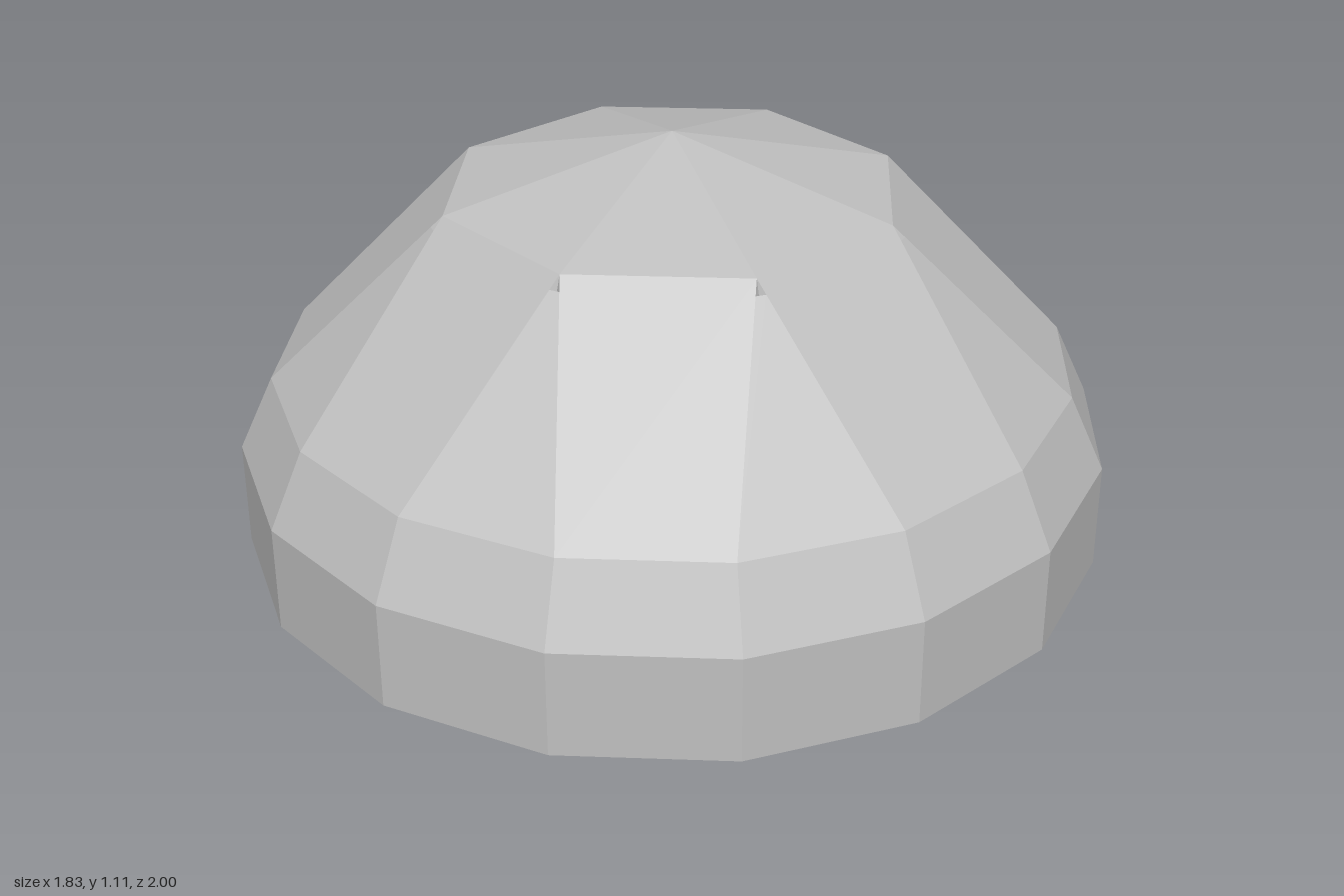
import * as THREE from 'three';

const CZ = 0.085; // dome axis
const FLOOR = 0.21;

// point on a ring around the dome axis, angle in steps of 22.5 degrees
const ring = (r, step, y) => {
  const t = (step * Math.PI) / 8;
  return new THREE.Vector3(r * Math.sin(t), y, CZ + r * Math.cos(t));
};
const v = (a) => new THREE.Vector3(...a);

// polygons (convex corner loops) to flat triangles
function faces(polys) {
  const pos = [];
  for (const p of polys)
    for (let i = 1; i < p.length - 1; i++)
      for (const q of [p[0], p[i], p[i + 1]]) pos.push(q.x, q.y, q.z);
  const g = new THREE.BufferGeometry();
  g.setAttribute('position', new THREE.Float32BufferAttribute(pos, 3));
  g.computeVertexNormals();
  return g;
}

export function createModel() {
  const grey = new THREE.MeshStandardMaterial({ color: 0xc0c0c0, flatShading: true, side: THREE.DoubleSide });
  grey.name = 'plain grey';
  const model = new THREE.Group();
  model.name = 'domeBuilding';
  const add = (name, geo, parent = model) => {
    const m = new THREE.Mesh(geo, grey);
    m.name = name;
    parent.add(m);
    return m;
  };
  // box given by its limits
  const box = (name, parent, x0, x1, y0, y1, z0, z1) => {
    const m = add(name, new THREE.BoxGeometry(x1 - x0, y1 - y0, z1 - z0), parent);
    m.position.set((x0 + x1) / 2, (y0 + y1) / 2, (z0 + z1) / 2);
  };

  // dome shell
  const wall = [], shoulder = [], roof = [], vents = [], cap = [];
  const apex = new THREE.Vector3(0, 1.11, CZ);
  const top = (j) => ring(0.49, 2 * j, 0.99);
  for (let k = 0; k < 16; k++) {
    const a = k + 0.5, b = k + 1.5;
    const at = (r, y) => [ring(r, a, y), ring(r, b, y)];
    const [b0, b1] = at(0.932, FLOOR), [m0, m1] = at(0.932, 0.44), [s0, s1] = at(0.857, 0.6);
    if (k !== 7) wall.push([b0, b1, m1, m0]); // the rear panel is the entrance
    shoulder.push([m0, m1, s1, s0]);
    if (k % 2 === 0) {
      roof.push([s0, s1, top(k / 2 + 1), top(k / 2)]);
      cap.push([top(k / 2), top(k / 2 + 1), apex]);
    } else {
      // triangular panel with a small vent pocket at its tip
      const tip = top((k + 1) / 2);
      const p0 = tip.clone().lerp(s0, 0.065), p1 = tip.clone().lerp(s1, 0.065);
      const deep = p0.clone().add(p1).multiplyScalar(0.5);
      deep.y -= 0.03;
      roof.push([s0, s1, p1, p0]);
      vents.push([p0, p1, deep], [p1, tip, deep], [tip, p0, deep]);
    }
  }
  add('wall', faces(wall));
  add('shoulder', faces(shoulder));
  add('roofPanels', faces(roof));
  add('roofVents', faces(vents));
  add('roofCap', faces(cap));

  // underside with a notch below the entrance
  const outline = new THREE.Shape();
  for (let k = 0; k < 16; k++) {
    const p = ring(0.932, k + 0.5, 0);
    if (k === 0) outline.moveTo(p.x, p.z);
    else outline.lineTo(p.x, p.z);
    if (k === 7)
      for (const [x, z] of [[0.15, p.z], [0.15, -0.68], [-0.15, -0.68], [-0.15, p.z]]) outline.lineTo(x, z);
  }
  add('underside', new THREE.ShapeGeometry(outline).rotateX(Math.PI / 2)).position.y = FLOOR;

  // entrance recess in the rear wall
  const entrance = new THREE.Group();
  entrance.name = 'entrance';
  model.add(entrance);
  const zf = -0.828;
  box('backWall', entrance, -0.18, 0.18, 0.212, 0.44, -0.68, -0.67);
  box('ceiling', entrance, -0.18, 0.18, 0.43, 0.44, zf, -0.68);
  box('floorSlab', entrance, -0.15, 0.15, 0.22, 0.235, -0.825, -0.68);
  box('ceilingBeam', entrance, -0.14, 0.14, 0.405, 0.43, -0.79, -0.77);
  for (const s of [-1, 1]) {
    const side = (name, a, b, ...rest) => box(name, entrance, Math.min(s * a, s * b), Math.max(s * a, s * b), ...rest);
    side('sideWall', 0.172, 0.18, 0.212, 0.43, zf, -0.68);
    side('pillar', 0.145, 0.172, 0.212, 0.43, -0.81, -0.78);
    side('innerPillar', 0.12, 0.135, 0.235, 0.43, -0.72, -0.7);
    side('bracket', 0.11, 0.145, 0.375, 0.405, -0.8, -0.77);
  }
  box('platform', entrance, -0.103, 0.103, 0.27, 0.36, -0.908, -0.7);
  box('platformLip', entrance, -0.075, 0.075, 0.27, 0.36, -0.918, -0.908);

  // small standing figure outside
  const figure = new THREE.Group();
  figure.name = 'standingFigure';
  figure.position.set(0, 0.27, -0.99);
  model.add(figure);
  add('torso', new THREE.CylinderGeometry(0.008, 0.006, 0.028, 6), figure).position.y = 0.045;
  add('head', new THREE.SphereGeometry(0.006, 6, 5), figure).position.y = 0.066;
  for (const s of [-1, 1]) {
    box('leg', figure, s * 0.0045 - 0.003, s * 0.0045 + 0.003, 0, 0.032, -0.003, 0.003);
    box('arm', figure, s * 0.0095 - 0.002, s * 0.0095 + 0.002, 0.03, 0.058, -0.002, 0.002);
  }

  // hanging rock: outer loop on the underside, inner loop below, hollow centre
  const rim = [[0.53, 0.2], [0.42, 0.45], [0.2, 0.6], [-0.12, 0.62], [-0.35, 0.5],
    [-0.47, 0.25], [-0.32, 0.06], [-0.05, 0.06], [0.2, 0.06], [0.4, 0.03]].map(([x, z]) => v([x, FLOOR, z]));
  const low = [[0.34, 0.04, 0.32], [0.31, 0.02, 0.42], [0.2, 0.03, 0.47], [0.08, 0, 0.34], [-0.1, 0.02, 0.36],
    [-0.26, 0.08, 0.28], [-0.14, 0.05, 0.2], [-0.02, 0.04, 0.2], [0.1, 0.02, 0.22], [0.24, 0.07, 0.25]].map(v);
  const hollow = v([0.15, 0.1, 0.31]);
  const rock = [];
  rim.forEach((p, i) => {
    const n = (i + 1) % rim.length;
    rock.push([p, rim[n], low[i]], [rim[n], low[n], low[i]], [low[i], low[n], hollow]);
  });
  add('hangingRock', faces(rock));

  // single-peaked rocks
  const peakRock = (name, pts, peak) => {
    const loop = pts.map(([x, z]) => v([x, FLOOR, z]));
    add(name, faces(loop.map((p, i) => [p, loop[(i + 1) % loop.length], v(peak)])));
  };
  peakRock('smallRock', [[-0.34, -0.02], [-0.52, -0.14], [-0.57, -0.32], [-0.4, -0.4], [-0.22, -0.42], [-0.2, -0.18]], [-0.41, 0.09, -0.26]);
  peakRock('shallowRock', [[0.5, 0.15], [0.1, 0.12], [-0.25, 0.1], [-0.15, -0.12], [0.2, -0.2], [0.54, -0.34]], [0.28, 0.185, -0.04]);

  return model;
}
